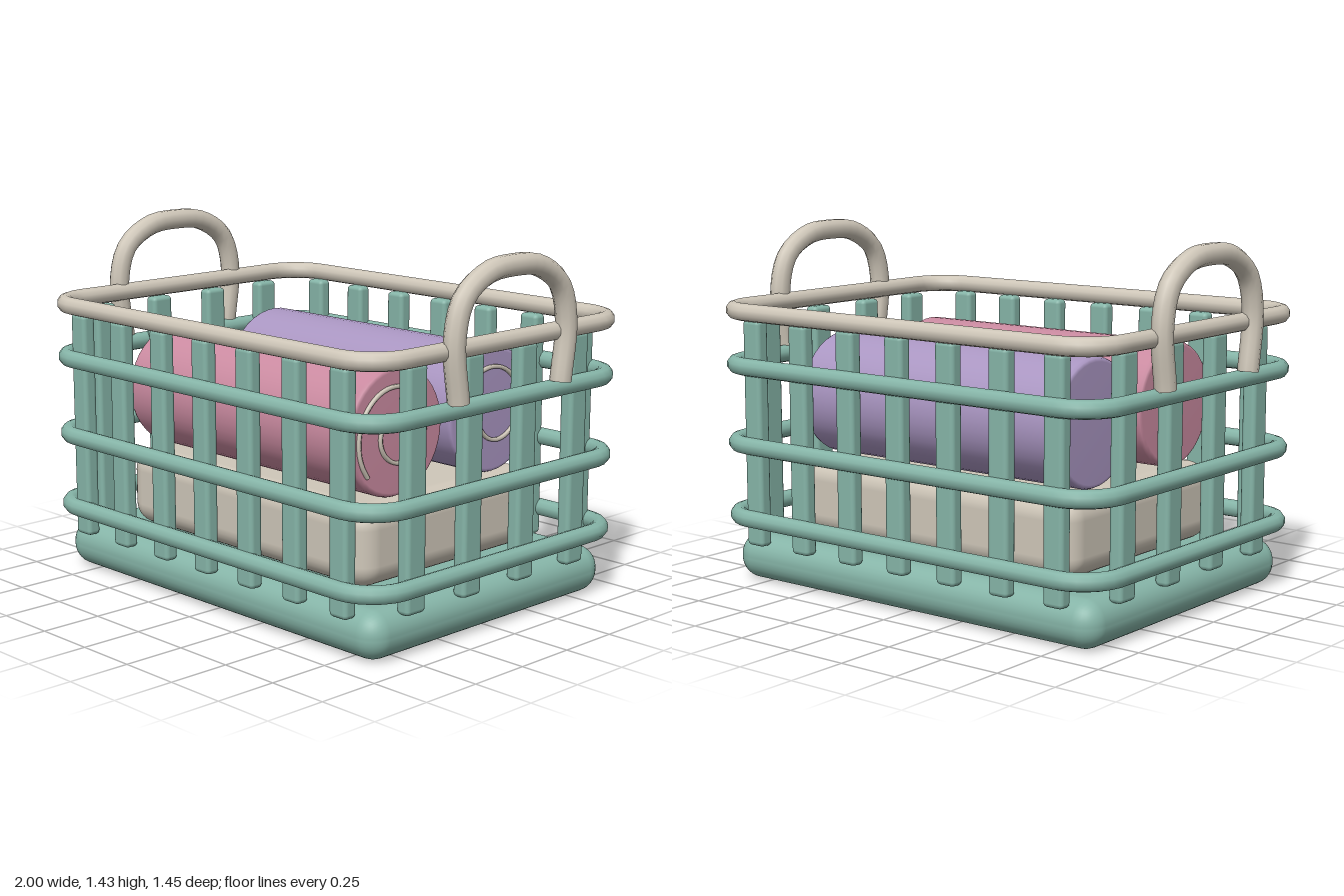
import * as THREE from 'three';
import { RoundedBoxGeometry } from 'three/addons/geometries/RoundedBoxGeometry.js';

const material = (name, color) => {
  const m = new THREE.MeshStandardMaterial({ color });
  m.name = name;
  return m;
};

// Closed rounded rectangle lying flat in the xz plane
class RailCurve extends THREE.Curve {
  constructor(hx, hz, r) {
    super();
    const s = new THREE.Shape();
    s.moveTo(hx, 0);
    s.lineTo(hx, hz - r);
    s.absarc(hx - r, hz - r, r, 0, Math.PI / 2);
    s.lineTo(-hx + r, hz);
    s.absarc(-hx + r, hz - r, r, Math.PI / 2, Math.PI);
    s.lineTo(-hx, -hz + r);
    s.absarc(-hx + r, -hz + r, r, Math.PI, Math.PI * 1.5);
    s.lineTo(hx - r, -hz);
    s.absarc(hx - r, -hz + r, r, Math.PI * 1.5, Math.PI * 2);
    s.lineTo(hx, 0);
    this.outline = s;
  }
  getPoint(t, target = new THREE.Vector3()) {
    const p = this.outline.getPointAt(t);
    return target.set(p.x, 0, p.y);
  }
}

export function createModel() {
  const group = new THREE.Group();
  group.name = 'towelBasket';
  const green = material('sage green', 0x86b5a8);
  const cream = material('cream', 0xcfc7b9);
  const pink = material('dusty pink', 0xcb8ba1);
  const purple = material('lavender', 0xaa96c2);

  const add = (name, geometry, mat, x = 0, y = 0, z = 0, parent = group) => {
    const mesh = new THREE.Mesh(geometry, mat);
    mesh.name = name;
    mesh.position.set(x, y, z);
    parent.add(mesh);
    return mesh;
  };

  // Base tray
  add('base', new RoundedBoxGeometry(1.81, 0.19, 1.32, 4, 0.09), green, 0, 0.095, 0);

  // Upright slats on all four sides
  const longSlat = new RoundedBoxGeometry(0.09, 0.92, 0.06, 2, 0.018);
  const shortSlat = new RoundedBoxGeometry(0.06, 0.92, 0.1, 2, 0.018);
  for (const side of [-1, 1]) {
    for (let i = -3; i <= 3; i++) add('longSideSlat', longSlat, green, i * 0.25, 0.62, side * 0.66);
    for (let i = 0; i < 4; i++) add('shortSideSlat', shortSlat, green, side * 0.89, 0.62, -0.45 + i * 0.3);
  }

  // Horizontal rails and the rim
  const rail = new THREE.TubeGeometry(new RailCurve(0.93, 0.69, 0.16), 160, 0.036, 10, true);
  for (const y of [0.27, 0.57, 0.89]) add('rail', rail, green, 0, y, 0);
  add('rim', rail, cream, 0, 1.11, 0);

  // Arched carrying handles with closed ends
  const half = [[0.285, 0.92], [0.31, 1.15], [0.265, 1.295], [0.14, 1.375]];
  const arch = [...half, [0, 1.39], ...half.slice().reverse().map(([z, y]) => [-z, y])];
  const archCurve = new THREE.CatmullRomCurve3(arch.map(([z, y]) => new THREE.Vector3(0, y, z)));
  const handleTube = new THREE.TubeGeometry(archCurve, 32, 0.042, 10);
  const cap = new THREE.CircleGeometry(0.042, 10);
  for (const side of [-1, 1]) {
    const handle = new THREE.Group();
    handle.name = 'handle';
    handle.position.x = side * 0.956;
    group.add(handle);
    add('handleArch', handleTube, cream, 0, 0, 0, handle);
    for (const end of [0, 1]) {
      const p = archCurve.getPoint(end);
      const out = archCurve.getTangent(end).multiplyScalar(end ? 1 : -1);
      add('handleEnd', cap, cream, p.x, p.y, p.z, handle)
        .quaternion.setFromUnitVectors(new THREE.Vector3(0, 0, 1), out);
    }
  }

  // Folded towel under the rolls
  add('foldedTowel', new RoundedBoxGeometry(1.38, 0.32, 0.99, 4, 0.09), cream, 0, 0.35, 0);

  // Rolled towels: straight sides, small rounded edge, flat ends
  const e = 0.018;
  const profile = [[0, -0.638], [0.25 - e, -0.638], [0.25 - e * 0.3, -0.638 + e * 0.3], [0.25, -0.638 + e],
    [0.25, 0.638 - e], [0.25 - e * 0.3, 0.638 - e * 0.3], [0.25 - e, 0.638], [0, 0.638]];
  const roll = new THREE.LatheGeometry(profile.map(([r, y]) => new THREE.Vector2(r, y)), 40);
  roll.rotateZ(-Math.PI / 2);

  // Spiral cord on the right-hand end of each roll
  const spiralPoints = [];
  for (let i = 0; i <= 40; i++) {
    const turns = (i / 40) * 1.62;
    const a = turns * Math.PI * 2;
    const r = 0.033 + 0.113 * turns;
    spiralPoints.push(new THREE.Vector3(0, r * Math.sin(a), -r * Math.cos(a)));
  }
  const spiral = new THREE.TubeGeometry(new THREE.CatmullRomCurve3(spiralPoints), 90, 0.009, 6);
  for (const [name, mat, z] of [['pinkRoll', pink, 0.27], ['purpleRoll', purple, -0.27]]) {
    add(name, roll, mat, 0, 0.76, z);
    add('rollSpiral', spiral, cream, 0.644, 0.76, z);
  }

  return group;
}
